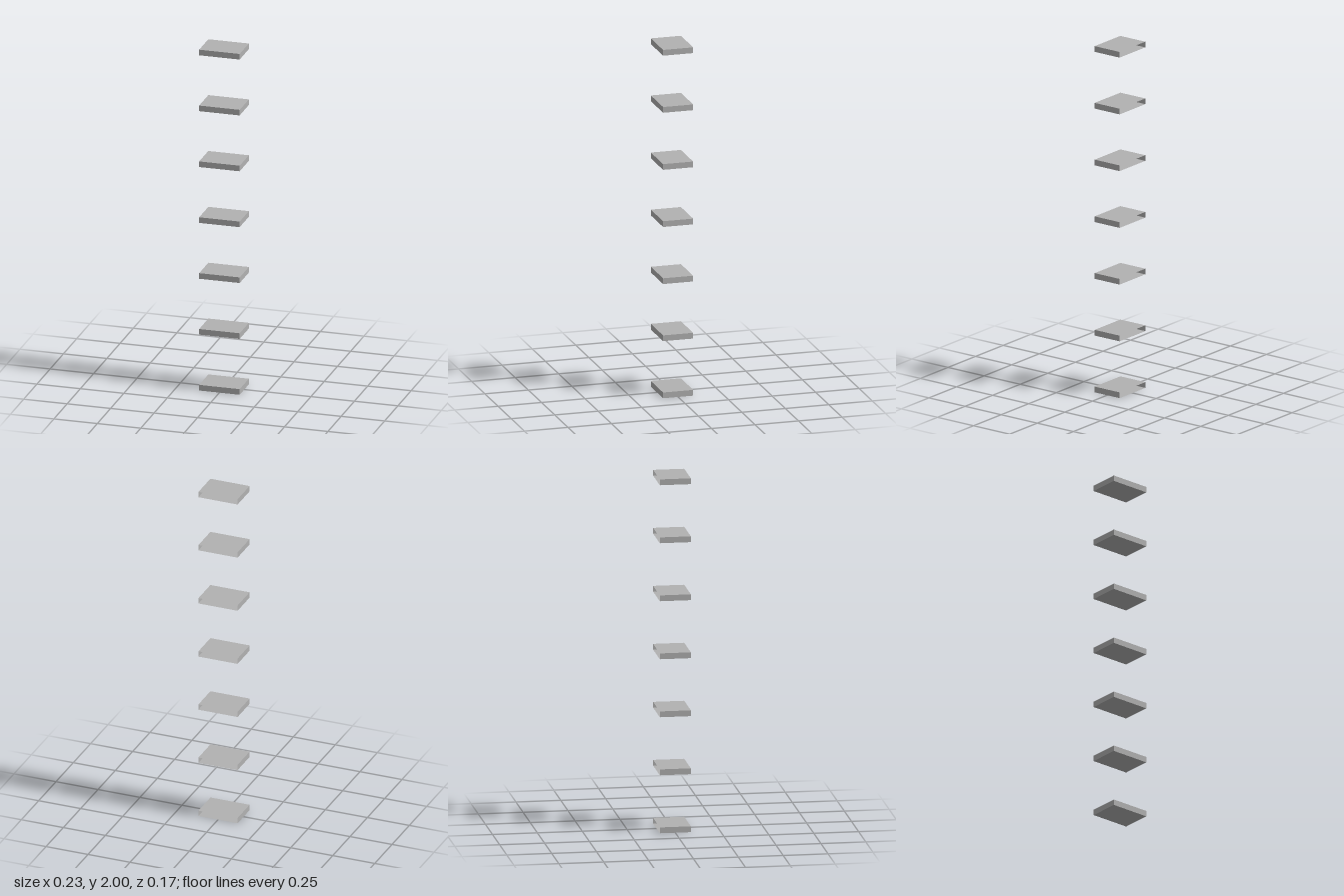
import * as THREE from 'three';

const COUNT = 7, WIDTH = 0.233, HEIGHT = 0.033, DEPTH = 0.173;

// Thin box sleeve left open at the back (-z)
function openBackBox(w, h, d) {
  const geometry = new THREE.BoxGeometry(w, h, d);
  // The last six indices are the back face
  geometry.setIndex(Array.from(geometry.index.array).slice(0, 30));
  geometry.clearGroups();
  return geometry;
}

export function createModel() {
  const model = new THREE.Group();
  model.name = 'floatingSteps';

  const grey = new THREE.MeshStandardMaterial({ color: 0xb2b2b2, side: THREE.DoubleSide });
  grey.name = 'grey';

  // Evenly spaced column of identical slabs
  const geometry = openBackBox(WIDTH, HEIGHT, DEPTH);
  const pitch = (2 - HEIGHT) / (COUNT - 1);
  for (let i = 0; i < COUNT; i++) {
    const step = new THREE.Mesh(geometry, grey);
    step.name = `step${i + 1}`;
    step.position.y = HEIGHT / 2 + i * pitch;
    model.add(step);
  }
  return model;
}
